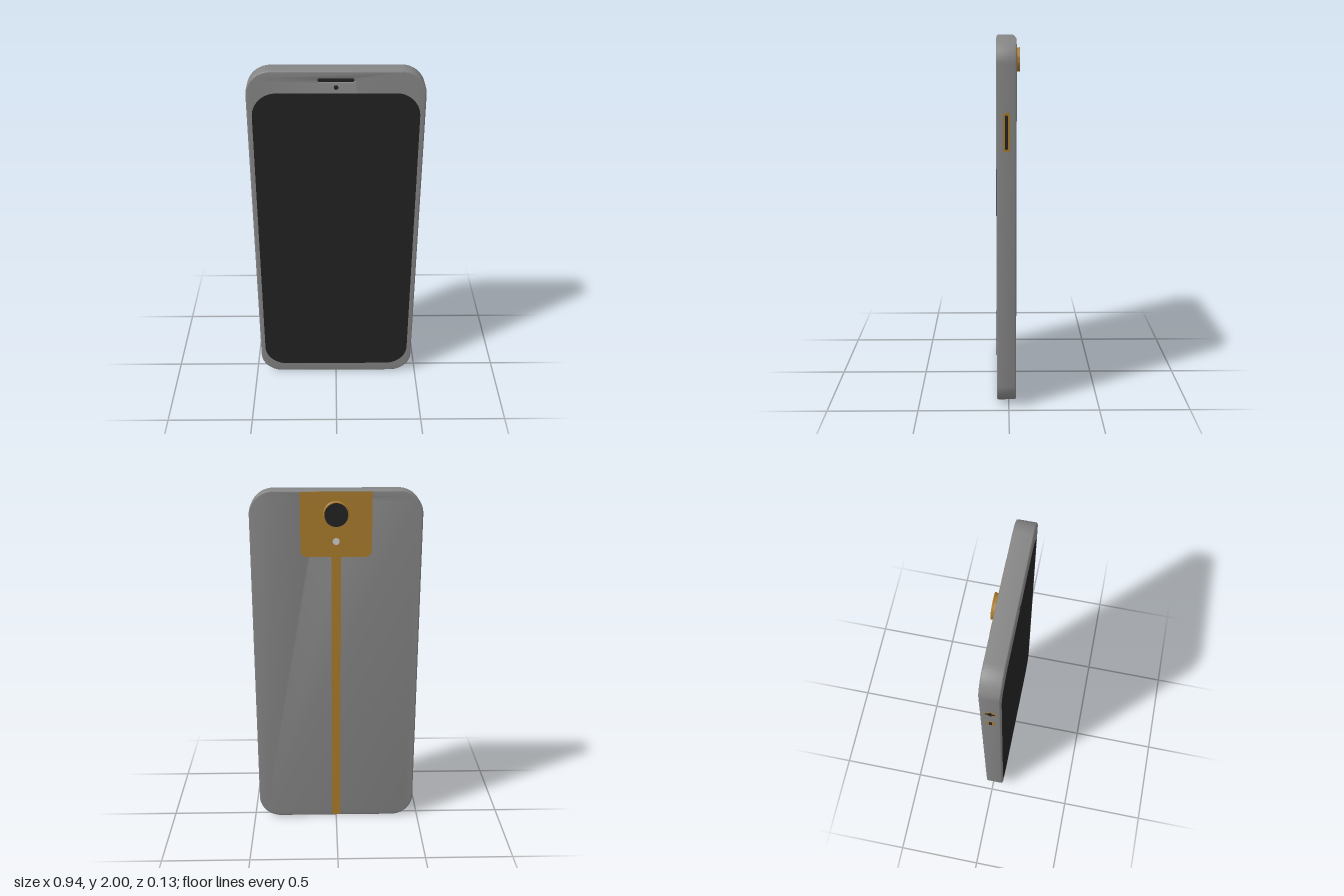
import * as THREE from 'three';
import { toCreasedNormals } from 'three/addons/utils/BufferGeometryUtils.js';

const W = 0.94, H = 2, BACK = -0.04, FRONT = 0.065, MID_Z = (BACK + FRONT) / 2;

const mat = (color) => new THREE.MeshStandardMaterial({ color });
const grey = mat(0x858585), dark = mat(0x222222), gold = mat(0xa87a2c), pale = mat(0xcccccc);

// Rounded rectangle centred on (cx, cy); rb and rt are bottom and top corner radii
function roundRect(cx, cy, w, h, rb, rt = rb, Type = THREE.Shape) {
  const s = new Type(), l = cx - w / 2, r = cx + w / 2, b = cy - h / 2, t = cy + h / 2;
  s.moveTo(l + rb, b);
  s.lineTo(r - rb, b);
  if (rb) s.absarc(r - rb, b + rb, rb, -Math.PI / 2, 0);
  s.lineTo(r, t - rt);
  if (rt) s.absarc(r - rt, t - rt, rt, 0, Math.PI / 2);
  s.lineTo(l + rt, t);
  if (rt) s.absarc(l + rt, t - rt, rt, Math.PI / 2, Math.PI);
  s.lineTo(l, b + rb);
  if (rb) s.absarc(l + rb, b + rb, rb, Math.PI, Math.PI * 1.5);
  return s;
}

// Plus sign with arm length a and half thickness t
function plus(a, t) {
  const pts = [];
  for (let i = 0; i < 4; i++) {
    const c = [1, 0, -1, 0][i], s = [0, 1, 0, -1][i];
    for (const [x, y] of [[a, -t], [a, t], [t, t]]) pts.push(new THREE.Vector2(x * c - y * s, x * s + y * c));
  }
  return new THREE.Shape(pts);
}

// Flat plate from z0 to z1
function plate(name, shape, z0, z1, material) {
  const geo = new THREE.ExtrudeGeometry(shape, { depth: z1 - z0, bevelEnabled: false, curveSegments: 16 });
  geo.translate(0, 0, z0);
  const mesh = new THREE.Mesh(toCreasedNormals(geo, 0.6), material);
  mesh.name = name;
  return mesh;
}

// Inlay with a dark centre and a rim, facing local +z
function inlay(name, outer, inner, rim = gold, centre = dark) {
  const g = new THREE.Group();
  g.name = name;
  g.add(plate(name + 'Rim', outer, -0.004, 0.001, rim), plate(name + 'Centre', inner, -0.004, 0.002, centre));
  return g;
}

export function createModel() {
  const phone = new THREE.Group();
  phone.name = 'phone';

  // Body with softened edges and an earpiece slot
  const bevel = 0.007;
  const outline = roundRect(0, H / 2, W, H, 0.13);
  outline.holes.push(roundRect(0, 1.95, 0.188, 0.016, 0.008, 0.008, THREE.Path));
  const bodyGeo = new THREE.ExtrudeGeometry(outline, {
    depth: FRONT - BACK - 2 * bevel, bevelThickness: bevel, bevelSize: bevel,
    bevelOffset: -bevel, bevelSegments: 3, curveSegments: 16,
  });
  bodyGeo.translate(0, 0, BACK + bevel);
  const body = new THREE.Mesh(toCreasedNormals(bodyGeo, 0.6), grey);
  body.name = 'body';
  phone.add(body);

  // Front: screen, earpiece, front camera
  phone.add(
    plate('screen', roundRect(0, 0.97, 0.885, 1.82, 0.13), FRONT - 0.004, FRONT + 0.001, dark),
    plate('earpiece', roundRect(0, 1.95, 0.198, 0.026, 0.013), BACK + 0.01, FRONT - 0.004, dark),
    plate('frontCamera', roundRect(0, 1.912, 0.024, 0.024, 0.012), FRONT - 0.004, FRONT + 0.001, dark),
  );

  // Back: gold panel, centre stripe, flash
  phone.add(
    plate('backPanel', roundRect(0, 1.816, 0.39, 0.354, 0.035, 0), BACK - 0.001, BACK + 0.004, gold),
    plate('backStripe', roundRect(0, 0.825, 0.052, 1.636, 0), BACK - 0.001, BACK + 0.004, gold),
    plate('flash', roundRect(0, 1.725, 0.038, 0.038, 0.019), BACK - 0.003, BACK, pale),
  );

  // Rear camera: flared ring with a dark lens
  const profile = [[0.073, 0], [0.068, 0.003], [0.065, 0.009], [0.065, 0.016], [0.067, 0.023], [0.067, 0.026], [0.064, 0.026], [0.064, 0.02]];
  const camera = new THREE.Group();
  camera.name = 'rearCamera';
  const ringGeo = new THREE.LatheGeometry(profile.map(([r, y]) => new THREE.Vector2(r, y)), 48);
  const ring = new THREE.Mesh(toCreasedNormals(ringGeo, 0.7), gold);
  ring.material = gold.clone();
  ring.material.side = THREE.DoubleSide;
  ring.name = 'cameraRing';
  const lens = new THREE.Mesh(new THREE.CylinderGeometry(0.0645, 0.0645, 0.024, 48), dark);
  lens.position.y = 0.0135;
  lens.name = 'cameraLens';
  camera.add(ring, lens);
  camera.rotation.x = -Math.PI / 2;
  camera.position.set(0, 1.873, BACK);
  phone.add(camera);

  // Power button on the left side
  const power = inlay('powerButton', roundRect(0, 0, 0.036, 0.2, 0.012), roundRect(0, 0, 0.014, 0.176, 0.006));
  power.rotation.y = Math.PI / 2;
  power.position.set(W / 2, 1.53, MID_Z);

  // Volume buttons on the right side
  const volumeUp = inlay('volumeUpButton', plus(0.03, 0.014), plus(0.025, 0.008));
  const volumeDown = inlay('volumeDownButton', roundRect(0, 0, 0.04, 0.06, 0.006), roundRect(0, 0, 0.016, 0.046, 0.003));
  [volumeUp, volumeDown].forEach((b, i) => {
    b.rotation.y = -Math.PI / 2;
    b.position.set(-W / 2, 1.65 - i * 0.155, MID_Z);
  });

  // Charging port on the bottom edge
  const port = inlay('chargingPort', roundRect(0, 0, 0.1, 0.022, 0.011), roundRect(0, 0, 0.088, 0.012, 0.006), pale, grey);
  port.rotation.x = Math.PI / 2;
  port.position.set(0, 0, MID_Z);

  phone.add(power, volumeUp, volumeDown, port);
  return phone;
}
